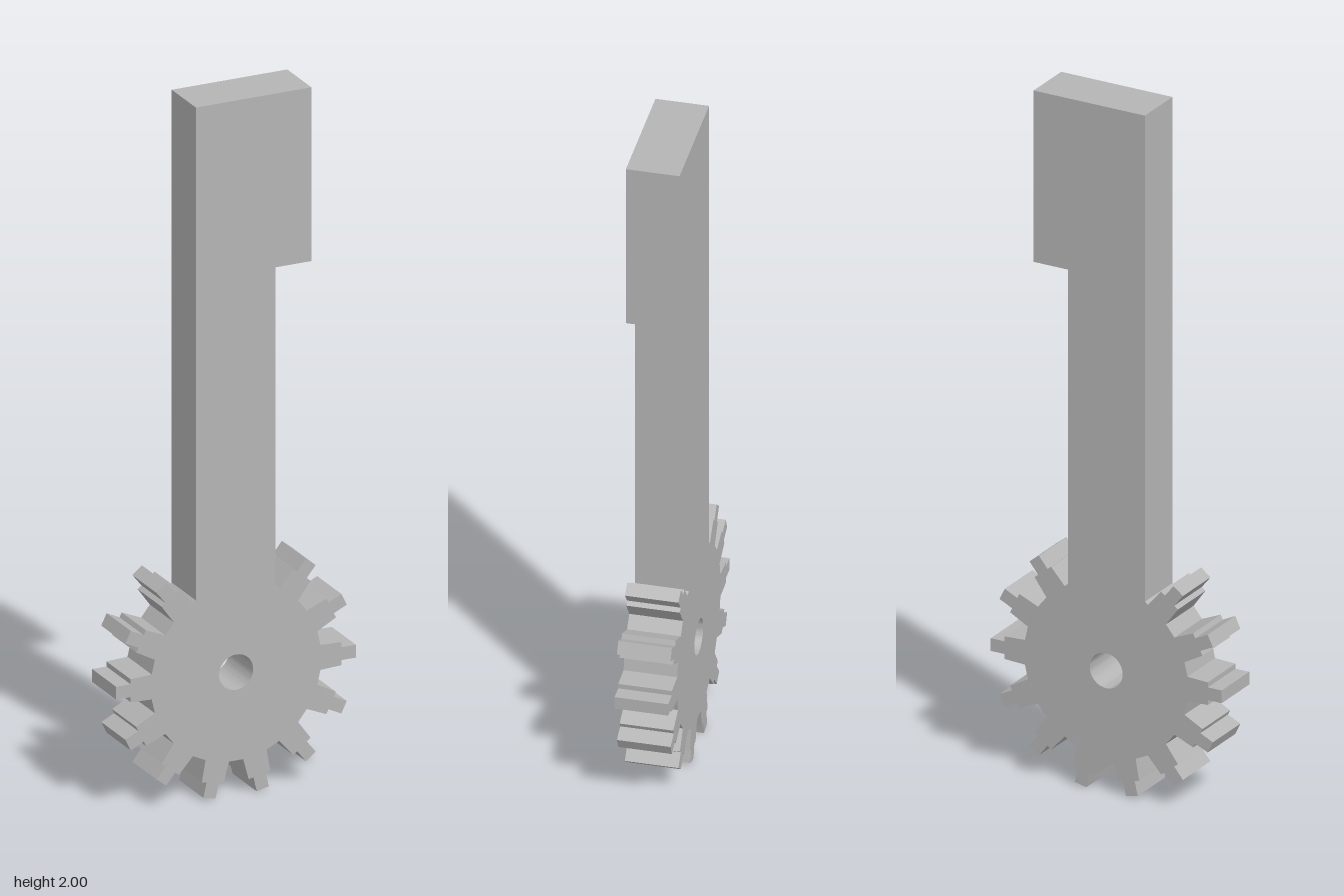
import * as THREE from 'three';
import { toCreasedNormals } from 'three/addons/utils/BufferGeometryUtils.js';

const TEETH = 14, CENTER_Y = 0.355, DEPTH = 0.148;

// Half profile of one stepped tooth: [radial distance, half width]
const TOOTH = [[0.252, 0.036], [0.315, 0.033], [0.315, 0.0185], [0.358, 0.0185]];

function toothPoints(angle) {
  const c = Math.cos(angle), s = Math.sin(angle);
  const side = TOOTH.map(([r, w]) => [r, -w]);
  const back = TOOTH.map(([r, w]) => [r, w]).reverse();
  return [...side, ...back].map(([r, w]) =>
    new THREE.Vector2(r * c - w * s, CENTER_Y + r * s + w * c));
}

export function createModel() {
  const model = new THREE.Group();
  model.name = 'gearKey';
  const grey = new THREE.MeshStandardMaterial({ color: 0xb4b4b4 });
  grey.name = 'grey';

  // Outline: arm with its side block, then the teeth from upper left round to upper right
  const outline = [[0.118, 0.582], [0.118, 1.5], [0.225, 1.5], [0.225, 2], [-0.12, 2], [-0.12, 0.582]]
    .map(([x, y]) => new THREE.Vector2(x, y));
  for (let i = 5; i <= TEETH + 2; i++) {
    outline.push(...toothPoints((i / TEETH) * Math.PI * 2));
  }
  const shape = new THREE.Shape(outline);

  // Axle hole
  const hole = new THREE.Path();
  hole.absarc(0, CENTER_Y, 0.051, 0, Math.PI * 2, true);
  shape.holes.push(hole);

  const geometry = new THREE.ExtrudeGeometry(shape, { depth: DEPTH, bevelEnabled: false, curveSegments: 32 });
  geometry.translate(0, 0, -DEPTH / 2);
  const body = new THREE.Mesh(toCreasedNormals(geometry, 0.35), grey);
  body.name = 'gearWithArm';
  model.add(body);
  return model;
}
